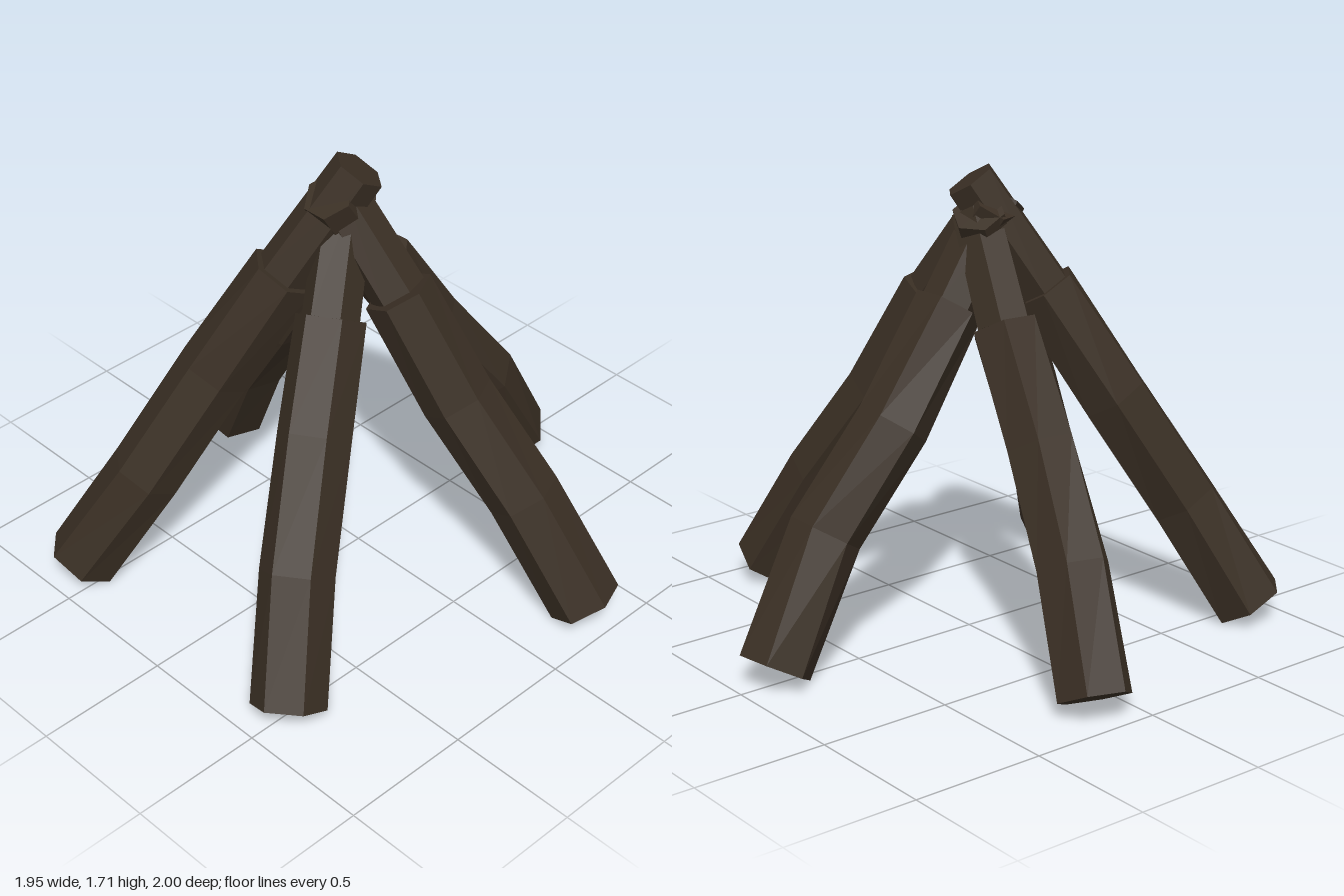
import * as THREE from 'three';

const SIDES = 6;
const V = (p) => new THREE.Vector3(...p);

// Closed six-sided loft along a bent path, with flat end caps
function loft(points, radii) {
  const path = points.map(V);
  const last = path.length - 1;
  const rings = path.map((centre, i) => {
    const along = path[Math.min(i + 1, last)].clone().sub(path[Math.max(i - 1, 0)]).normalize();
    const side = along.clone().cross(new THREE.Vector3(0, 1, 0)).normalize();
    const up = along.clone().cross(side);
    return Array.from({ length: SIDES }, (_, k) => {
      const a = (k / SIDES) * Math.PI * 2;
      return centre.clone()
        .addScaledVector(side, Math.cos(a) * radii[i])
        .addScaledVector(up, Math.sin(a) * radii[i]);
    });
  });
  const tris = [];
  for (let k = 0; k < SIDES; k++) {
    const n = (k + 1) % SIDES;
    for (let i = 0; i < last; i++) {
      const a = rings[i], b = rings[i + 1];
      tris.push(a[k], a[n], b[n], a[k], b[n], b[k]);
    }
    tris.push(path[0], rings[0][n], rings[0][k]);
    tris.push(path[last], rings[last][k], rings[last][n]);
  }
  const geometry = new THREE.BufferGeometry().setFromPoints(tris);
  geometry.computeVertexNormals();
  return geometry;
}

// Centre lines: foot, two bends, shoulder, tip
const LOGS = {
  rightLog: [[0.86, 0.07, -0.005], [0.61, 0.5, 0.035], [0.35, 0.86, -0.015], [0.09, 1.24, 0], [-0.14, 1.6, 0]],
  frontLog: [[0.29, 0.07, 0.88], [0.2, 0.48, 0.64], [0.095, 0.84, 0.4], [-0.005, 1.24, 0.2], [-0.08, 1.6, -0.05]],
  backLog: [[0.155, 0.07, -0.88], [0.08, 0.46, -0.67], [0.025, 0.82, -0.43], [0, 1.19, -0.2], [-0.05, 1.55, 0.02]],
  frontLeftLog: [[-0.85, 0.07, 0.525], [-0.66, 0.47, 0.375], [-0.43, 0.86, 0.225], [-0.23, 1.19, 0.1], [-0.01, 1.57, -0.04]],
  backLeftLog: [[-0.86, 0.07, -0.585], [-0.67, 0.47, -0.415], [-0.44, 0.88, -0.28], [-0.24, 1.28, -0.12], [-0.03, 1.67, 0.035]],
};

export function createModel() {
  const model = new THREE.Group();
  model.name = 'leaningLogs';
  const bark = new THREE.MeshStandardMaterial({ color: 0x3a2f24, flatShading: true });
  bark.name = 'charredBark';

  for (const [name, path] of Object.entries(LOGS)) {
    const log = new THREE.Group();
    log.name = name;

    // Thick bent trunk
    const trunk = new THREE.Mesh(loft(path.slice(0, 4), [0.136, 0.134, 0.132, 0.126]), bark);
    trunk.name = 'trunk';

    // Thinner end stepping out of the trunk and crossing at the peak
    const tip = new THREE.Mesh(loft(path.slice(3), [0.103, 0.096]), bark);
    tip.name = 'tip';

    log.add(trunk, tip);
    model.add(log);
  }
  return model;
}
